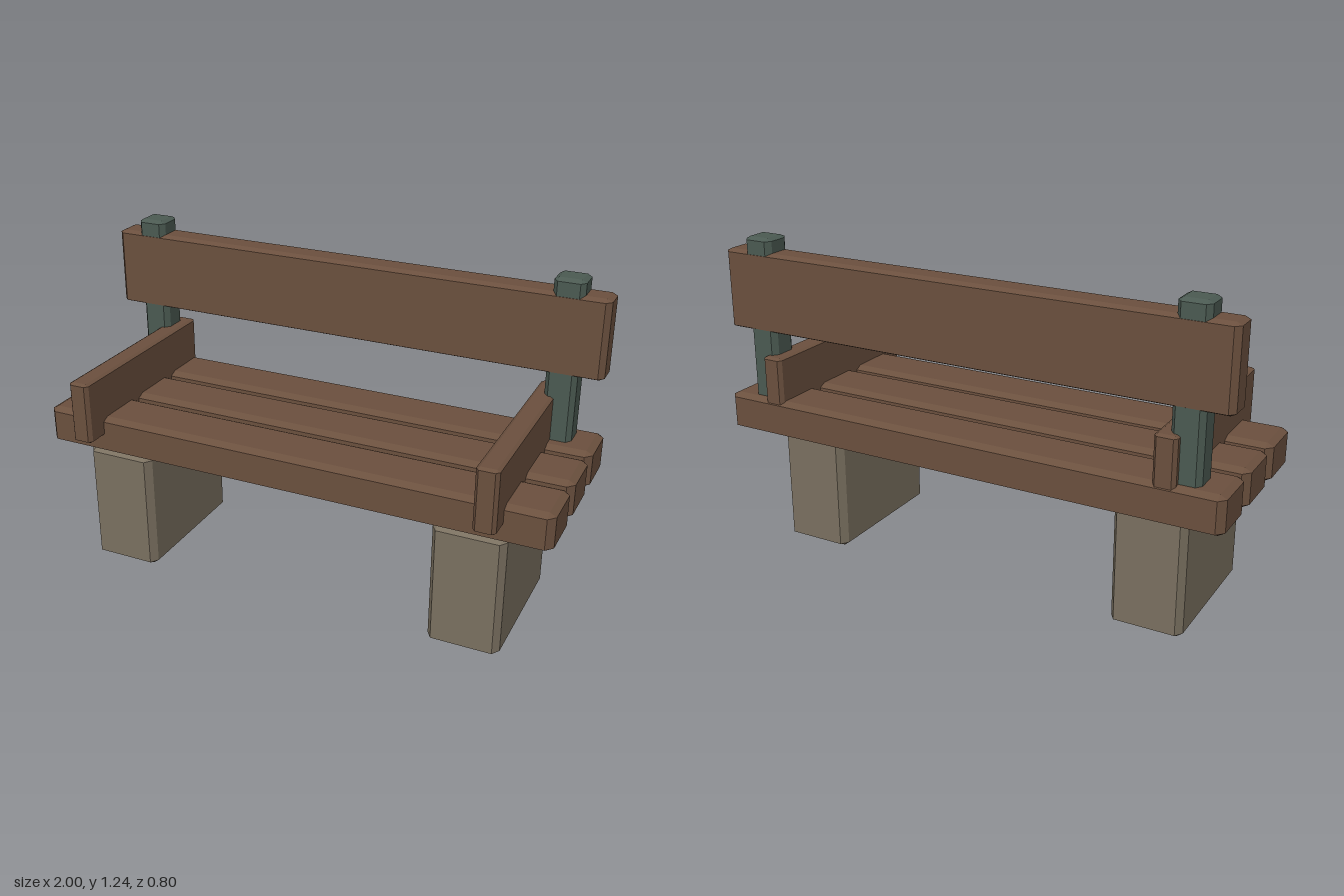
import * as THREE from 'three';
import { ConvexGeometry } from 'three/addons/geometries/ConvexGeometry.js';

const material = (color) => new THREE.MeshStandardMaterial({ color, flatShading: true });

// Box between two corners, every edge chamfered by a per-axis bevel
function chamferBox(name, mat, [x0, x1], [y0, y1], [z0, z1], [bx, by, bz]) {
  const hx = (x1 - x0) / 2, hy = (y1 - y0) / 2, hz = (z1 - z0) / 2;
  const points = [];
  for (const sx of [-1, 1]) for (const sy of [-1, 1]) for (const sz of [-1, 1]) {
    points.push(
      new THREE.Vector3(sx * hx, sy * (hy - by), sz * (hz - bz)),
      new THREE.Vector3(sx * (hx - bx), sy * hy, sz * (hz - bz)),
      new THREE.Vector3(sx * (hx - bx), sy * (hy - by), sz * hz));
  }
  const mesh = new THREE.Mesh(new ConvexGeometry(points), mat);
  mesh.name = name;
  mesh.position.set((x0 + x1) / 2, (y0 + y1) / 2, (z0 + z1) / 2);
  return mesh;
}

export function createModel() {
  const bench = new THREE.Group();
  bench.name = 'bench';
  const wood = material(0x6b503e);
  const stone = material(0x7a7060);
  const metal = material(0x4b5a52);

  // Three seat planks
  [[0.09, 0.31], [-0.155, 0.065], [-0.395, -0.18]].forEach((z, i) => {
    bench.add(chamferBox(`seatPlank${i + 1}`, wood, [-1, 1], [0.475, 0.62], z, [0.025, 0.014, 0.028]));
  });

  // Backrest board
  bench.add(chamferBox('backrest', wood, [-1, 1], [0.875, 1.18], [-0.36, -0.24], [0.02, 0.01, 0.022]));

  // Mirrored supports: stone leg, back post and armrest on each side
  for (const [side, s] of [['left', 1], ['right', -1]]) {
    const span = (a, b) => (s > 0 ? [a, b] : [-b, -a]);
    bench.add(
      chamferBox(`${side}Leg`, stone, span(0.57, 0.84), [0, 0.475], [-0.285, 0.295], [0.02, 0.015, 0.03]),
      chamferBox(`${side}BackPost`, metal, span(0.79, 0.905), [0.56, 1.235], [-0.359, -0.241], [0.017, 0.01, 0.022]),
      chamferBox(`${side}Armrest`, wood, span(0.748, 0.83), [0.55, 0.79], [-0.39, 0.4], [0.012, 0.007, 0.015]));
  }
  return bench;
}
